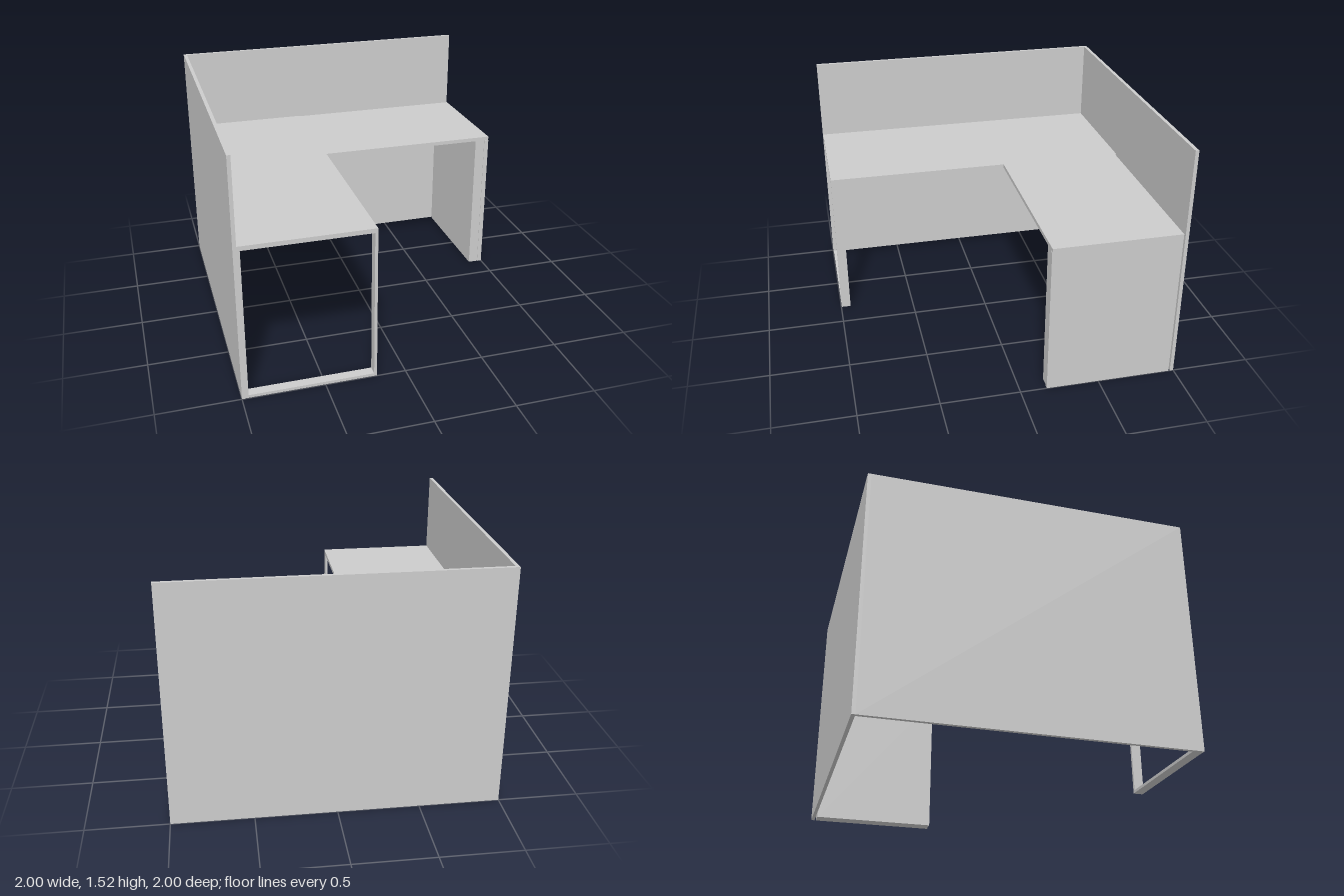
import * as THREE from 'three';

const material = new THREE.MeshStandardMaterial({ color: 0xcccccc });

// Box given by its extents along each axis
function slab(name, [x0, x1], [y0, y1], [z0, z1]) {
  const mesh = new THREE.Mesh(new THREE.BoxGeometry(x1 - x0, y1 - y0, z1 - z0), material);
  mesh.position.set((x0 + x1) / 2, (y0 + y1) / 2, (z0 + z1) / 2);
  mesh.name = name;
  return mesh;
}

export function createModel() {
  const desk = new THREE.Group();
  desk.name = 'cornerDesk';
  const H = 1.52, under = 0.965, top = 0.99;
  const wall = -0.978, inner = -0.18, front = -0.17;

  // Tall privacy walls along the back and the side
  desk.add(slab('backScreen', [-1, 1], [0, H], [-1, wall]));
  desk.add(slab('sideScreen', [-1, wall], [0, H], [wall, 1]));

  // L-shaped worktop; the main wing leaves a cable slot at the back
  desk.add(slab('sideWorktop', [wall, inner], [under, top], [wall, 0.997]));
  desk.add(slab('mainWorktop', [inner, 1], [under, top], [-0.968, front]));

  // Thick end support with an outer facing
  desk.add(slab('endSupport', [0.905, 0.97], [0, under], [-0.968, front]));
  desk.add(slab('endFacing', [0.97, 1], [0, under], [-0.968, front + 0.003]));

  // Open rectangular leg frame under the side wing
  const outline = new THREE.Shape([
    [wall, 0], [inner, 0], [inner, under], [wall, under],
  ].map(([x, y]) => new THREE.Vector2(x, y)));
  outline.holes.push(new THREE.Path([
    [-0.96, 0.018], [-0.96, under - 0.003], [-0.198, under - 0.003], [-0.198, 0.018],
  ].map(([x, y]) => new THREE.Vector2(x, y))));
  const frame = new THREE.Mesh(
    new THREE.ExtrudeGeometry(outline, { depth: 0.062, bevelEnabled: false }), material);
  frame.position.z = 0.935;
  frame.name = 'legFrame';
  desk.add(frame);

  return desk;
}
